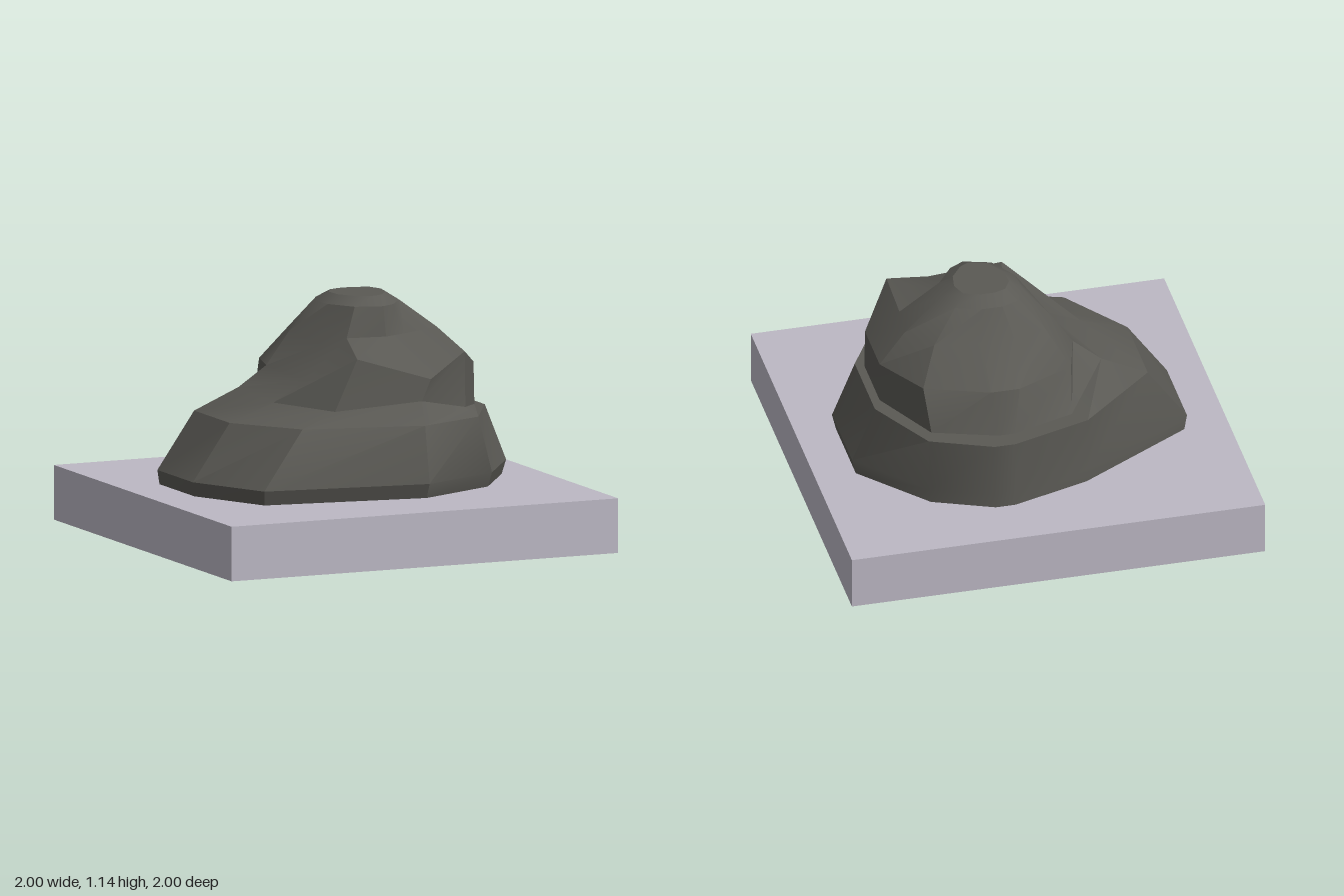
import * as THREE from 'three';
import { toCreasedNormals } from 'three/addons/utils/BufferGeometryUtils.js';

// Horizontal outline at one height, given as [x, z] pairs
const level = (y, outline) => outline.map(([x, z]) => [x, y, z]);

// Outline scaled about a centre and moved to a new height
const scaled = (ring, s, cx, cz, y) =>
  ring.map(([x, , z]) => [cx + (x - cx) * s, y, cz + (z - cz) * s]);

// Skin a stack of outlines from bottom to top and cap the top
function loft(rings) {
  const n = rings[0].length;
  const top = rings[rings.length - 1];
  const centre = [0, 1, 2].map(k => top.reduce((sum, p) => sum + p[k], 0) / n);
  const positions = [];
  for (let i = 0; i < n; i++) {
    const j = (i + 1) % n;
    for (let r = 0; r < rings.length - 1; r++) {
      const lo = rings[r], hi = rings[r + 1];
      positions.push(...lo[i], ...lo[j], ...hi[j], ...lo[i], ...hi[j], ...hi[i]);
    }
    positions.push(...top[i], ...top[j], ...centre);
  }
  const geometry = new THREE.BufferGeometry();
  geometry.setAttribute('position', new THREE.Float32BufferAttribute(positions, 3));
  return toCreasedNormals(geometry, 0.5);
}

export function createModel() {
  const group = new THREE.Group();
  group.name = 'rockOnSlab';

  // Square slab
  const slab = new THREE.Mesh(
    new THREE.BoxGeometry(2, 0.26, 2),
    new THREE.MeshStandardMaterial({ color: 0xbcb8c4 })
  );
  slab.name = 'slab';
  slab.position.y = 0.13;
  group.add(slab);

  // Outlines run left-back, front, right, back
  const widest = level(0.33, [[-0.8, -0.27], [-0.8, 0.13], [-0.61, 0.52], [0.19, 0.64],
    [0.6, 0.45], [0.82, 0.13], [0.82, -0.27], [0.53, -0.6], [0.24, -0.72], [0.14, -0.72], [-0.24, -0.6]]);
  const foot = scaled(widest, 0.98, 0, -0.72, 0.255);
  const shoulder = level(0.6, [[-0.61, -0.27], [-0.61, 0.13], [-0.38, 0.45], [0.19, 0.59],
    [0.53, 0.45], [0.71, 0.13], [0.71, -0.27], [0.53, -0.6], [0.24, -0.72], [0.14, -0.72], [-0.24, -0.6]]);

  // Foot of the upper rock, just inside the shoulder
  const upperFoot = [[-0.39, 0.7, -0.25], [-0.38, 0.68, 0.12], [-0.18, 0.66, 0.38], [0.22, 0.7, 0.49],
    [0.49, 0.64, 0.39], [0.67, 0.6, 0.1], [0.67, 0.6, -0.2], [0.5, 0.6, -0.53],
    [0.2, 0.6, -0.63], [0.12, 0.6, -0.63], [-0.18, 0.6, -0.53]];

  // Brow with the raised front ledge and the hollow on its side
  const brow = [[-0.26, 0.8, -0.22], [-0.2, 0.77, 0.1], [-0.06, 0.9, 0.37], [0.27, 0.8, 0.48],
    [0.5, 0.9, 0.36], [0.67, 0.8, 0.09], [0.67, 0.8, -0.2], [0.52, 0.8, -0.45],
    [0.22, 0.8, -0.56], [0.08, 0.8, -0.56], [-0.2, 0.8, -0.43]];

  // Base of the peak, behind the ledge
  const neck = [[-0.15, 0.96, -0.2], [-0.08, 0.92, 0], [0, 0.96, 0.12], [0.19, 0.96, 0.15],
    [0.31, 0.96, 0.1], [0.53, 0.96, -0.02], [0.55, 0.96, -0.2], [0.44, 0.96, -0.34],
    [0.22, 0.96, -0.38], [0.06, 0.96, -0.38], [-0.1, 0.96, -0.32]];

  // Rounded peak
  const crown = level(1.1, [[-0.03, -0.18], [-0.02, -0.05], [0.06, 0.08], [0.19, 0.12],
    [0.26, 0.08], [0.34, -0.03], [0.36, -0.15], [0.32, -0.26], [0.2, -0.3], [0.1, -0.3], [0.02, -0.27]]);
  const summit = scaled(crown, 0.67, 0.16, -0.1, 1.14);

  const rock = new THREE.Mesh(
    loft([foot, widest, shoulder, upperFoot, brow, neck, crown, summit]),
    new THREE.MeshStandardMaterial({ color: 0x5a5954 })
  );
  rock.name = 'rock';
  group.add(rock);

  return group;
}
